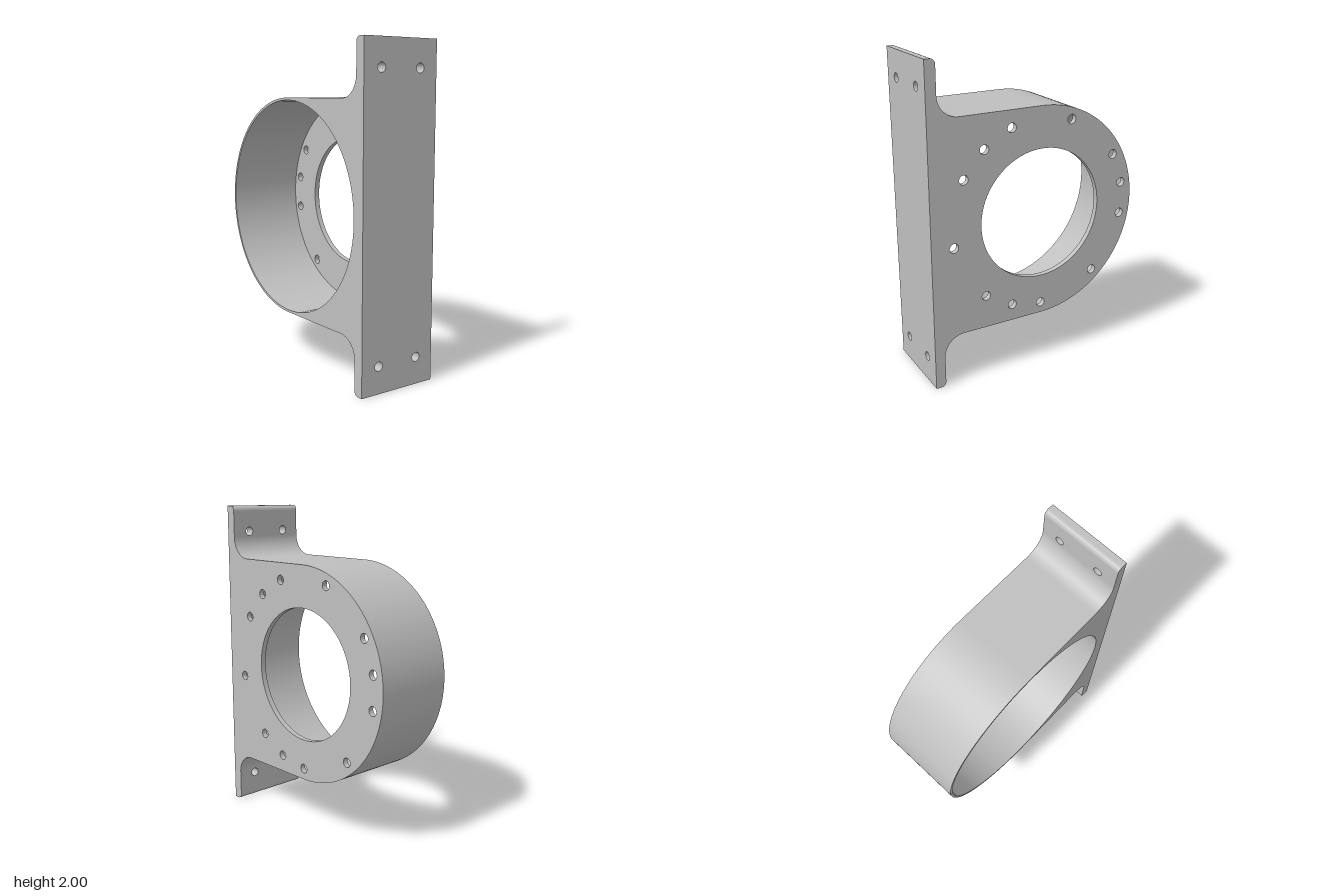
import * as THREE from 'three';
import { toCreasedNormals } from 'three/addons/utils/BufferGeometryUtils.js';

const HALF = 0.2625;      // half width along x
const FLANGE = 0.035;     // thickness of the bolt flange
const FRONT = 0.705, BACK = 0.64; // z faces of the mounting plate
const CU = 0.03, CY = 1;  // ring centre (u = -z)
const PI = Math.PI;

const metal = new THREE.MeshStandardMaterial({ color: 0xbfbfbf });
metal.name = 'grey metal';

function addHole(shape, x, y, r) {
  const hole = new THREE.Path();
  hole.absarc(x, y, r, 0, 2 * PI, true);
  shape.holes.push(hole);
}

function makeMesh(name, geometry) {
  const mesh = new THREE.Mesh(toCreasedNormals(geometry, 0.5), metal);
  mesh.name = name;
  return mesh;
}

// Side profile drawn in (u = -z, y), extruded along x
function sideExtrude(name, shape, x0, x1, curveSegments) {
  const geometry = new THREE.ExtrudeGeometry(shape, { depth: x1 - x0, bevelEnabled: false, curveSegments });
  geometry.rotateY(PI / 2);
  geometry.translate(x0, 0, 0);
  return makeMesh(name, geometry);
}

// Rounded housing with fillets running into the plate
function housingProfile() {
  const s = new THREE.Shape();
  s.moveTo(-FRONT, 0.2);
  s.lineTo(-BACK, 0.2);
  s.absarc(-0.51, 0.2, 0.13, PI, PI / 2, true);
  s.lineTo(CU, 0.33);
  s.absarc(CU, CY, 0.67, -PI / 2, PI / 2, false);
  s.lineTo(-0.51, 1.67);
  s.absarc(-0.51, 1.8, 0.13, -PI / 2, -PI, true);
  s.lineTo(-FRONT, 1.8);
  s.closePath();
  return s;
}

// Upper end of the mounting plate: drilled ear and rounded tip
function makeEar(name) {
  const ear = new THREE.Group();
  ear.name = name;
  const split = 1.97;

  const plate = new THREE.Shape();
  plate.moveTo(-HALF, 1.8);
  plate.lineTo(HALF, 1.8);
  plate.lineTo(HALF, split);
  plate.lineTo(-HALF, split);
  plate.closePath();
  for (const x of [-0.14, 0.14]) addHole(plate, x, 1.836, 0.028);
  const geometry = new THREE.ExtrudeGeometry(plate, { depth: FRONT - BACK, bevelEnabled: false, curveSegments: 24 });
  geometry.translate(0, 0, BACK);
  ear.add(makeMesh('drilledEar', geometry));

  const tip = new THREE.Shape();
  tip.moveTo(-FRONT, split);
  tip.lineTo(-BACK, split);
  tip.absarc(-BACK - 0.03, split, 0.03, 0, PI / 2, false);
  tip.lineTo(-FRONT, 2);
  tip.closePath();
  ear.add(sideExtrude('roundedTip', tip, -HALF, HALF, 12));
  return ear;
}

export function createModel() {
  const model = new THREE.Group();
  model.name = 'bearingBracket';

  // Thin walled housing, open on the left side
  const shell = housingProfile();
  addHole(shell, CU, CY, 0.655);
  model.add(sideExtrude('housing', shell, -HALF, HALF - FLANGE, 48));

  // Flange with central opening and bolt circle
  const flange = housingProfile();
  addHole(flange, CU, CY, 0.412);
  for (const degrees of [30, 50, 70, 110, 150, 170, 190, 230, 270, 290, 310, 350]) {
    const a = THREE.MathUtils.degToRad(degrees);
    addHole(flange, CU - 0.6 * Math.cos(a), CY + 0.6 * Math.sin(a), 0.029);
  }
  model.add(sideExtrude('boltFlange', flange, HALF - FLANGE, HALF, 48));

  // Plate ends above and below, the lower one turned half round
  model.add(makeEar('upperEar'));
  const lower = makeEar('lowerEar');
  lower.rotation.z = PI;
  lower.position.y = 2;
  model.add(lower);

  return model;
}
